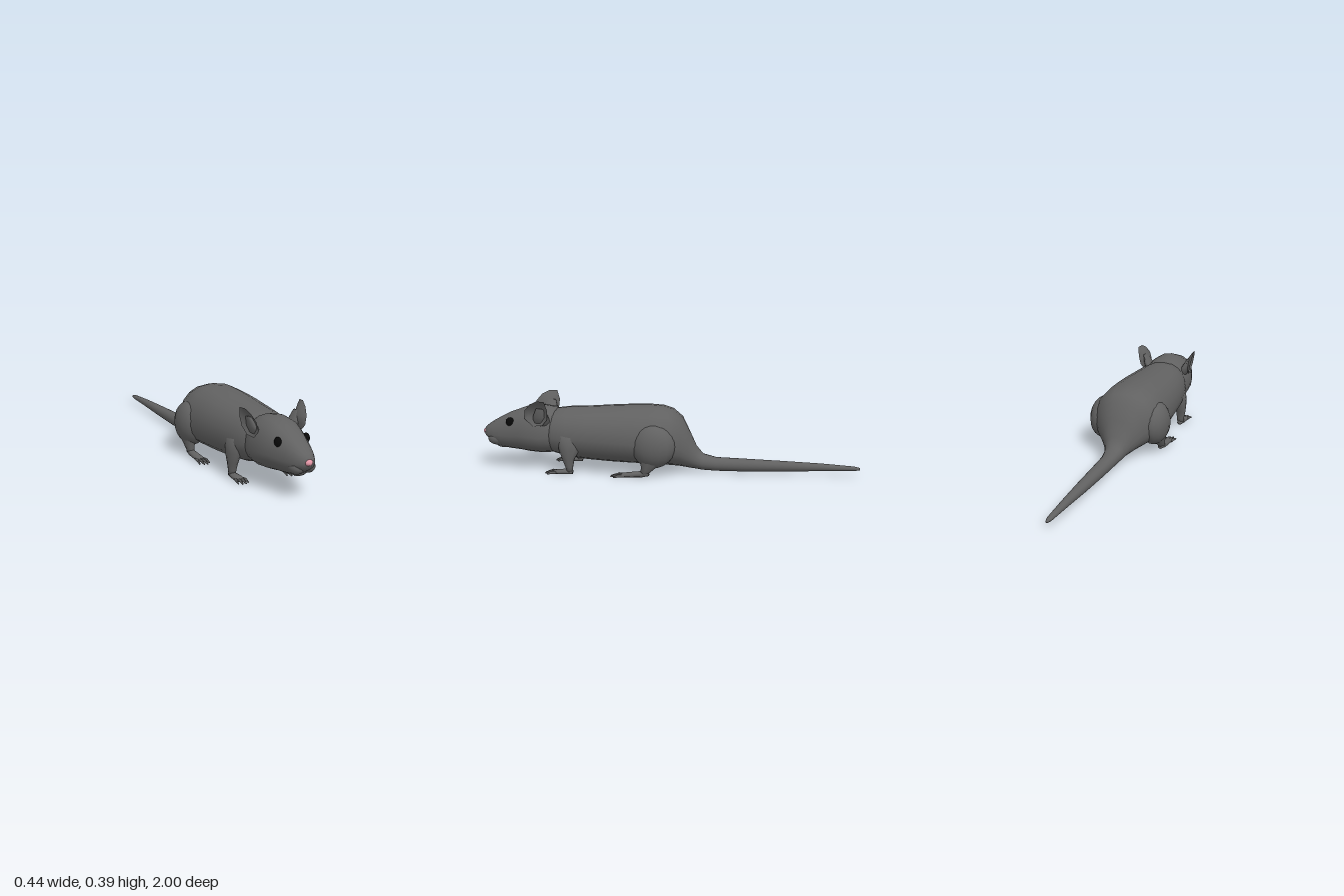
import * as THREE from 'three';

const fur = new THREE.MeshStandardMaterial({ color: 0x616161 });
fur.name = 'grey fur';
const earFur = new THREE.MeshStandardMaterial({ color: 0x616161, side: THREE.DoubleSide });
earFur.name = 'grey ear skin';
const black = new THREE.MeshStandardMaterial({ color: 0x080808 });
black.name = 'black eye';
const pink = new THREE.MeshStandardMaterial({ color: 0xe396a6 });
pink.name = 'pink nose';

// Closed skin through rings of equal length, with a point at each end
function skin(rings) {
  const n = rings[0].length, pos = [], idx = [];
  rings.forEach(r => r.forEach(p => pos.push(p.x, p.y, p.z)));
  for (let i = 0; i < rings.length - 1; i++) for (let j = 0; j < n; j++) {
    const a = i * n + j, b = i * n + (j + 1) % n;
    idx.push(a, b, a + n, b, b + n, a + n);
  }
  [0, rings.length - 1].forEach((k, end) => {
    const c = rings[k].reduce((s, p) => s.add(p), new THREE.Vector3()).divideScalar(n);
    const ci = pos.length / 3;
    pos.push(c.x, c.y, c.z);
    for (let j = 0; j < n; j++) {
      const a = k * n + j, b = k * n + (j + 1) % n;
      if (end) idx.push(a, b, ci); else idx.push(b, a, ci);
    }
  });
  const g = new THREE.BufferGeometry();
  g.setAttribute('position', new THREE.Float32BufferAttribute(pos, 3));
  g.setIndex(idx);
  g.computeVertexNormals();
  return g;
}

// Sections along z: [z, top, bottom, halfWidth, heightOfWidestPoint]
function trunk(sections, n = 20) {
  return skin(sections.map(([z, top, bottom, w, mid]) => Array.from({ length: n }, (_, j) => {
    const a = j / n * Math.PI * 2, s = Math.sin(a), c = Math.cos(a);
    return new THREE.Vector3(w * Math.sign(c) * Math.abs(c) ** 0.85,
      mid + s * (s > 0 ? top - mid : mid - bottom), z);
  })));
}

// Limb along points [x, y, z, radiusX, radiusOther]; side mirrors x
function limb(points, side, n = 10) {
  const c = points.map(p => new THREE.Vector3(p[0] * side, p[1], p[2]));
  const u = new THREE.Vector3(1, 0, 0);
  return skin(points.map((p, i) => {
    const t = c[Math.min(i + 1, c.length - 1)].clone().sub(c[Math.max(i - 1, 0)]);
    const v = t.cross(u).normalize();
    return Array.from({ length: n }, (_, j) => {
      const a = j / n * Math.PI * 2;
      return c[i].clone().addScaledVector(u, p[3] * Math.cos(a))
        .addScaledVector(v, (p[4] ?? p[3]) * Math.sin(a));
    });
  }));
}

// Shallow ear cup: rim points [y, z], hollowed towards the middle
function earCup(side) {
  const rim = [[0.25, 0.70], [0.29, 0.745], [0.335, 0.74], [0.37, 0.71], [0.39, 0.67],
    [0.388, 0.63], [0.34, 0.615], [0.29, 0.62], [0.255, 0.65]];
  const n = rim.length, rings = 4, pos = [], idx = [];
  for (let i = 0; i <= rings; i++) for (let j = 0; j < n; j++) {
    const k = i / rings, y = 0.315 + (rim[j][0] - 0.315) * k, z = 0.675 + (rim[j][1] - 0.675) * k;
    const x = 0.132 + (y - 0.25) * 0.2 + (0.66 - z) * 0.16 - 0.028 * (1 - k * k);
    pos.push(x * side, y, z);
    if (i < rings) {
      const a = i * n + j, b = i * n + (j + 1) % n;
      idx.push(a, b, a + n, b, b + n, a + n);
    }
  }
  const g = new THREE.BufferGeometry();
  g.setAttribute('position', new THREE.Float32BufferAttribute(pos, 3));
  g.setIndex(idx);
  g.computeVertexNormals();
  return g;
}

export function createModel() {
  const model = new THREE.Group();
  const add = (name, geometry, material = fur) => {
    const m = new THREE.Mesh(geometry, material);
    m.name = name;
    model.add(m);
    return m;
  };
  const blob = (name, at, size, material = fur) => {
    const m = add(name, new THREE.SphereGeometry(1, 16, 12), material);
    m.position.set(...at);
    m.scale.set(...size);
    return m;
  };

  // Body running into the tail
  add('bodyAndTail', trunk([
    [-1, 0.046, 0.034, 0.007, 0.04], [-0.97, 0.052, 0.03, 0.014, 0.041],
    [-0.8, 0.063, 0.024, 0.021, 0.043], [-0.6, 0.07, 0.016, 0.03, 0.043],
    [-0.4, 0.076, 0.01, 0.036, 0.043], [-0.25, 0.08, 0.01, 0.041, 0.045],
    [-0.18, 0.098, 0.014, 0.05, 0.055], [-0.145, 0.14, 0.02, 0.062, 0.075],
    [-0.11, 0.215, 0.026, 0.09, 0.11], [-0.07, 0.295, 0.035, 0.13, 0.15],
    [-0.02, 0.335, 0.042, 0.168, 0.165], [0.03, 0.35, 0.046, 0.187, 0.17],
    [0.1, 0.355, 0.048, 0.188, 0.17], [0.2, 0.352, 0.05, 0.185, 0.18],
    [0.3, 0.346, 0.053, 0.18, 0.185], [0.42, 0.337, 0.06, 0.17, 0.19],
    [0.53, 0.333, 0.072, 0.155, 0.19], [0.6, 0.325, 0.09, 0.135, 0.19],
    [0.65, 0.3, 0.11, 0.11, 0.2]]));

  // Head tapering to the snout
  add('head', trunk([
    [0.56, 0.31, 0.11, 0.1, 0.2], [0.61, 0.333, 0.092, 0.126, 0.19],
    [0.67, 0.342, 0.088, 0.133, 0.185], [0.74, 0.338, 0.093, 0.125, 0.19],
    [0.79, 0.32, 0.1, 0.11, 0.19], [0.84, 0.302, 0.104, 0.094, 0.185],
    [0.89, 0.277, 0.11, 0.078, 0.182], [0.93, 0.255, 0.127, 0.064, 0.182],
    [0.965, 0.232, 0.15, 0.046, 0.183], [0.985, 0.215, 0.168, 0.027, 0.188]]));
  blob('lowerJaw', [0, 0.136, 0.885], [0.046, 0.032, 0.055]);
  blob('nose', [0, 0.192, 0.982], [0.02, 0.016, 0.018], pink);

  for (const side of [1, -1]) {
    const label = side > 0 ? 'left' : 'right';
    blob(label + 'Cheek', [0.03 * side, 0.158, 0.918], [0.036, 0.034, 0.05]);
    blob(label + 'Eye', [0.076 * side, 0.26, 0.835], [0.016, 0.024, 0.022], black);

    // Ears with a thick root
    add(label + 'Ear', earCup(side), earFur);
    add(label + 'EarRoot', limb([[0.09, 0.25, 0.66, 0.03, 0.05], [0.115, 0.3, 0.66, 0.02, 0.042],
      [0.132, 0.345, 0.655, 0.008, 0.025]], side));

    // Front leg and foot
    add(label + 'FrontLeg', limb([[0.115, 0.2, 0.5, 0.045, 0.075], [0.13, 0.13, 0.51, 0.037, 0.055],
      [0.136, 0.08, 0.512, 0.027, 0.032], [0.136, 0.04, 0.508, 0.021, 0.02],
      [0.136, 0.017, 0.508, 0.019, 0.017]], side));
    add(label + 'FrontFoot', limb([[0.136, 0.013, 0.49, 0.014, 0.01], [0.136, 0.015, 0.52, 0.021, 0.014],
      [0.136, 0.014, 0.565, 0.026, 0.012], [0.136, 0.011, 0.59, 0.024, 0.009]], side));

    // Thigh, hind leg and foot
    blob(label + 'Thigh', [0.14 * side, 0.165, 0.065], [0.078, 0.115, 0.115]);
    add(label + 'HindLeg', limb([[0.15, 0.13, 0.07, 0.048, 0.085], [0.157, 0.085, 0.085, 0.036, 0.055],
      [0.162, 0.045, 0.1, 0.022, 0.028], [0.163, 0.02, 0.115, 0.017, 0.018]], side));
    add(label + 'HindFoot', limb([[0.163, 0.025, 0.085, 0.013, 0.013], [0.163, 0.021, 0.12, 0.02, 0.016],
      [0.163, 0.017, 0.17, 0.023, 0.014], [0.163, 0.013, 0.225, 0.024, 0.011]], side));

    // Four splayed toes on every foot
    for (const [foot, x, z, length] of [['Front', 0.136, 0.575, 0.06], ['Hind', 0.163, 0.21, 0.075]])
      for (let i = 0; i < 4; i++) {
        const o = i - 1.5, l = length * (Math.abs(o) > 1 ? 0.78 : 1);
        add(label + foot + 'Toe' + (i + 1), limb([[x + o * 0.012, 0.012, z, 0.007, 0.008],
          [x + o * 0.016, 0.013, z + l * 0.55, 0.006, 0.008],
          [x + o * 0.018, 0.005, z + l, 0.003, 0.004]], side, 6));
      }
  }
  return model;
}
